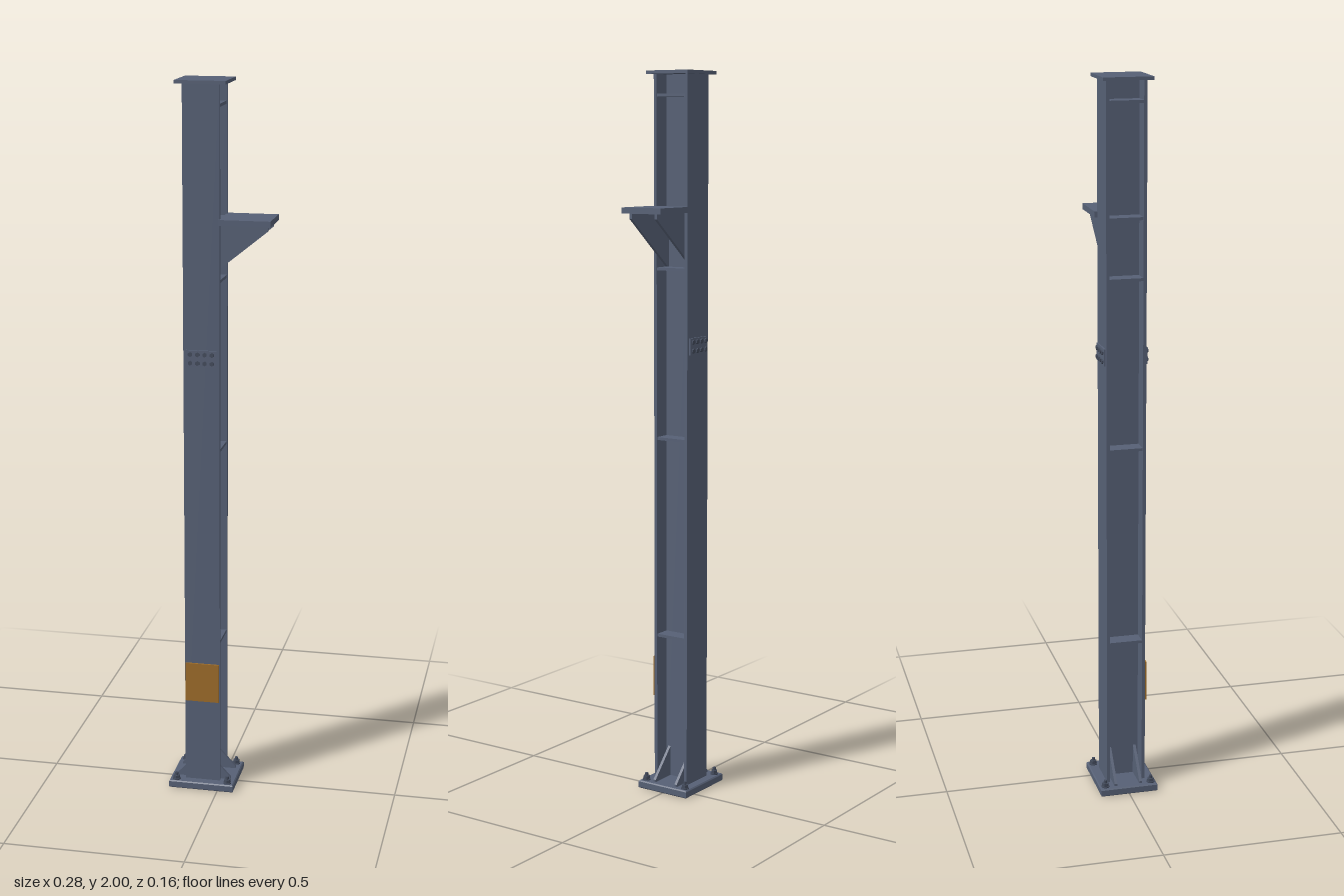
import * as THREE from 'three';

const CX = -0.047; // column axis

export function createModel() {
  const model = new THREE.Group();
  const mat = (name, color) => {
    const m = new THREE.MeshStandardMaterial({ color });
    m.name = name;
    return m;
  };
  const steel = mat('blue grey steel', 0x566075);
  const bolt = mat('dark bolt steel', 0x434b5c);
  const orange = mat('orange paint', 0x9c6c2a);

  const add = (name, geo, m, x = 0, y = 0, z = 0) => {
    const mesh = new THREE.Mesh(geo, m);
    mesh.name = name;
    mesh.position.set(x, y, z);
    model.add(mesh);
    return mesh;
  };
  const box = (name, m, w, h, d, x, y, z) =>
    add(name, new THREE.BoxGeometry(w, h, d), m, x, y, z);
  // plate cut from an outline in the xy plane, centred on z
  const plate = (name, pts, t, z) => {
    const shape = new THREE.Shape(pts.map(p => new THREE.Vector2(...p)));
    const geo = new THREE.ExtrudeGeometry(shape, { depth: t, bevelEnabled: false });
    geo.translate(0, 0, -t / 2);
    return add(name, geo, steel, 0, 0, z);
  };
  const hex = (name, r, h, x, y, z) => {
    const geo = new THREE.CylinderGeometry(r, r, h, 6).toNonIndexed();
    geo.computeVertexNormals();
    return add(name, geo, bolt, x, y, z);
  };

  // H-section column: two flanges and a web
  for (const s of [1, -1]) box('flange', steel, 0.1, 1.97, 0.009, CX, 1.006, s * 0.0505);
  box('web', steel, 0.008, 1.97, 0.093, CX, 1.006, 0);

  // Base plate with a small bevel along its edges
  const b = 0.003;
  const outline = new THREE.Shape();
  outline.moveTo(-0.09, -0.079).lineTo(0.09, -0.079).lineTo(0.09, 0.079).lineTo(-0.09, 0.079);
  const baseGeo = new THREE.ExtrudeGeometry(outline, {
    depth: 0.022 - 2 * b, bevelSize: b, bevelThickness: b, bevelSegments: 1,
  });
  baseGeo.rotateX(-Math.PI / 2);
  add('basePlate', baseGeo, steel, CX, b, 0);

  // Anchor bolts: washer, nut and stud at each corner
  for (const sx of [1, -1]) for (const sz of [1, -1]) {
    const x = CX + sx * 0.074, z = sz * 0.066;
    add('anchorWasher', new THREE.CylinderGeometry(0.0115, 0.0115, 0.003, 16), bolt, x, 0.0235, z);
    hex('anchorNut', 0.0095, 0.009, x, 0.0295, z);
    add('anchorStud', new THREE.CylinderGeometry(0.0045, 0.0045, 0.008, 10), bolt, x, 0.038, z);
  }

  // Base gussets and horizontal stiffeners on both sides of the web
  for (const s of [1, -1]) {
    const inner = CX + s * 0.004, outer = CX + s * 0.078;
    for (const z of [0.036, -0.036])
      plate('baseGusset', [[inner, 0.022], [outer, 0.022], [outer, 0.028], [inner, 0.108]], 0.008, z);
    for (const y of [0.442, 1.002, 1.47, 1.632, 1.935])
      box('stiffener', steel, 0.044, 0.008, 0.092, CX + s * 0.026, y, 0);
  }

  // Cap plate
  box('capPlate', steel, 0.138, 0.009, 0.135, CX, 1.9955, 0);

  // Corbel bracket: seat plate on two sloping side plates
  box('corbelSeat', steel, 0.139, 0.016, 0.127, 0.0705, 1.632, 0);
  for (const z of [0.041, -0.041])
    plate('corbelSide', [[CX + 0.004, 1.47], [0.13, 1.61], [0.13, 1.624], [CX + 0.004, 1.624]], 0.008, z);

  // Splice plates with rows of bolts on both flanges
  for (const s of [1, -1]) {
    box('splicePlate', steel, 0.084, 0.046, 0.005, CX, 1.262, s * 0.0575);
    for (let i = 0; i < 4; i++) for (const dy of [-0.012, 0.012]) {
      const head = hex('spliceBolt', 0.0065, 0.004, CX + (i - 1.5) * 0.02, 1.262 + dy, s * 0.062);
      head.rotation.x = Math.PI / 2;
    }
  }

  // Painted marker panel on the front flange
  box('markerPanel', orange, 0.096, 0.114, 0.005, CX, 0.322, 0.0575);

  return model;
}
